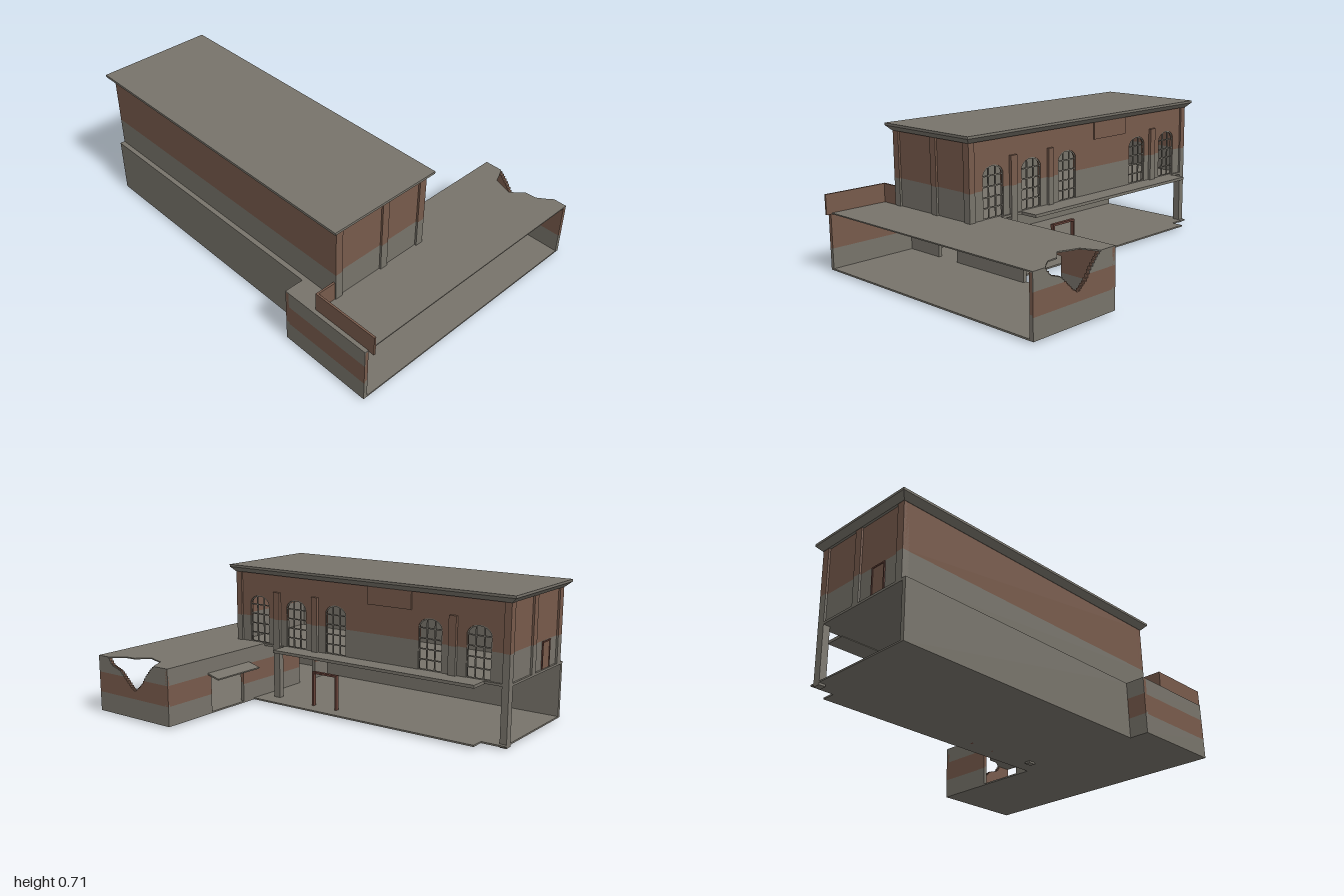
import * as THREE from 'three';
import { mergeGeometries } from 'three/addons/utils/BufferGeometryUtils.js';

const concrete = new THREE.MeshStandardMaterial({ name: 'concrete grey', color: 0x77736a });
const brick = new THREE.MeshStandardMaterial({ name: 'brick brown', color: 0x775a4b });
const frameRed = new THREE.MeshStandardMaterial({ name: 'frame red', color: 0x654138 });

// Box from its bounds: [x0, x1, y0, y1, z0, z1]
function boxGeo([x0, x1, y0, y1, z0, z1]) {
  return new THREE.BoxGeometry(x1 - x0, y1 - y0, z1 - z0)
    .translate((x0 + x1) / 2, (y0 + y1) / 2, (z0 + z1) / 2);
}

export function createModel() {
  const model = new THREE.Group();
  const add = (name, geo, mat) => {
    const mesh = new THREE.Mesh(geo, mat);
    mesh.name = name;
    model.add(mesh);
    return mesh;
  };
  const boxes = (name, mat, list) => add(name, mergeGeometries(list.map(boxGeo)), mat);

  // Wall split into horizontal colour bands; bands are [upper limit, material]
  function banded(name, [x0, x1, y0, y1, z0, z1], bands) {
    let low = y0;
    for (const [limit, mat] of bands) {
      const high = Math.min(limit, y1);
      if (high > low) {
        boxes(name, mat, [[x0, x1, low, high, z0, z1]]);
        low = high;
      }
    }
  }
  const hallBands = [[0.44, concrete], [1, brick]];
  const innerBands = [[0.12, concrete], [1, brick]];
  const outerBands = [[0.11, concrete], [0.215, brick], [1, concrete]];

  // Ground floors and upper floor
  boxes('floor', concrete, [
    [-0.7, 0.69, 0.01, 0.018, 0.475, 0.97],
    [-0.6, 0, 0.01, 0.018, -0.97, 0.475],
    [0, 0.07, 0.01, 0.018, -0.85, 0.475],
  ]);
  boxes('upperFloor', concrete, [[-0.6, -0.02, 0.288, 0.3, -0.97, 0.475]]);
  boxes('lowerSideWall', concrete, [[-0.6, -0.58, 0.01, 0.3, -0.97, 0.475]]);

  // Hall: plain walls
  banded('hallFrontWall', [-0.575, -0.03, 0.3, 0.68, 0.635, 0.655], hallBands);
  banded('hallBackWall', [-0.575, -0.03, 0.288, 0.68, -0.96, -0.94], hallBands);
  banded('hallSideWall', [-0.575, -0.555, 0.3, 0.68, -0.96, 0.655], hallBands);

  // Hall: window wall, with u = -z along its length
  const windows = [-0.51, -0.26, -0.005, 0.55, 0.81];
  const half = 0.065;
  const arch = (s, u) => {
    s.lineTo(u - half, 0.515);
    s.quadraticCurveTo(u - half + 0.015, 0.553, u, 0.555);
    s.quadraticCurveTo(u + half - 0.015, 0.553, u + half, 0.515);
  };
  const upper = new THREE.Shape();
  upper.moveTo(-0.655, 0.44);
  const piers = [];
  let start = -0.655;
  for (const u of windows) {
    upper.lineTo(u - half, 0.44);
    arch(upper, u);
    upper.lineTo(u + half, 0.44);
    piers.push([-0.05, -0.03, 0.3, 0.44, -(u - half), -start].map((v) => v));
    start = u + half;
  }
  piers.push([-0.05, -0.03, 0.3, 0.44, -0.96, -start]);
  upper.lineTo(0.96, 0.44);
  upper.lineTo(0.96, 0.68);
  upper.lineTo(-0.655, 0.68);
  upper.closePath();
  add('windowWallUpper', new THREE.ExtrudeGeometry(upper, { depth: 0.02, bevelEnabled: false, curveSegments: 5 })
    .rotateY(Math.PI / 2).translate(-0.05, 0, 0), brick);
  boxes('windowWallLower', concrete, piers);

  // Window frames and glazing bars
  for (const u of windows) {
    const frame = new THREE.Shape();
    frame.moveTo(u - half, 0.3);
    arch(frame, u);
    frame.lineTo(u + half, 0.3);
    frame.closePath();
    const hole = new THREE.Path(frame.getPoints(5).map((p) =>
      new THREE.Vector2(u + (p.x - u) * 0.91, 0.425 + (p.y - 0.425) * 0.95)));
    frame.holes.push(hole);
    add('windowFrame', new THREE.ExtrudeGeometry(frame, { depth: 0.01, bevelEnabled: false, curveSegments: 5 })
      .rotateY(Math.PI / 2).translate(-0.044, 0, 0), concrete);
    const bars = [];
    for (const d of [-0.022, 0.022]) bars.push([-0.042, -0.036, 0.3, 0.545, -u + d - 0.003, -u + d + 0.003]);
    for (let i = 1; i < 5; i++) {
      const y = 0.3 + i * 0.051;
      bars.push([-0.042, -0.036, y - 0.003, y + 0.003, -u - 0.063, -u + 0.063]);
    }
    boxes('windowBars', concrete, bars);
  }

  // Pilasters on the front, back and window walls
  for (const [a, b] of [[-0.575, -0.535], [-0.295, -0.255], [-0.06, -0.02]]) {
    banded('frontPilaster', [a, b, 0.3, 0.68, 0.63, 0.665], hallBands);
    banded('backPilaster', [a, b, b === -0.02 ? 0 : 0.288, 0.68, -0.97, -0.935], hallBands);
  }
  for (const [z0, z1, y0] of [[0.365, 0.405, 0], [0.115, 0.15, 0.3], [-0.695, -0.655, 0.3]]) {
    banded('sidePilaster', [-0.045, -0.015, y0, 0.585, z0, z1], hallBands);
  }
  boxes('wallPanel', brick, [[-0.04, -0.022, 0.585, 0.68, -0.445, -0.195]]);

  // Roof with flared cornice
  const cornice = boxGeo([-0.605, 0.005, 0.675, 0.7, -1, 0.69]);
  const pos = cornice.attributes.position;
  for (let i = 0; i < pos.count; i++) {
    if (pos.getY(i) < 0.69) {
      pos.setX(i, pos.getX(i) < -0.3 ? -0.577 : -0.018);
      pos.setZ(i, pos.getZ(i) < 0 ? -0.972 : 0.667);
    }
  }
  cornice.computeVertexNormals();
  add('cornice', cornice, concrete);
  boxes('hallRoof', concrete, [[-0.605, 0.005, 0.7, 0.712, -1, 0.69]]);

  // Doors
  boxes('sideDoorFrame', frameRed, [
    [-0.02, 0, 0.01, 0.2, 0.125, 0.135],
    [-0.02, 0, 0.01, 0.2, -0.02, -0.01],
    [-0.02, 0, 0.19, 0.2, -0.02, 0.135],
  ]);
  boxes('backDoor', brick, [[-0.45, -0.38, 0.3, 0.43, -0.963, -0.958]]);
  boxes('backDoorFrame', frameRed, [
    [-0.457, -0.45, 0.3, 0.437, -0.966, -0.958],
    [-0.38, -0.373, 0.3, 0.437, -0.966, -0.958],
    [-0.45, -0.38, 0.43, 0.437, -0.966, -0.958],
  ]);

  // Long side canopy
  boxes('sideCanopy', concrete, [[-0.03, 0.075, 0.285, 0.3, -0.845, 0.335]]);

  // Annex: rear wall with two openings, brick inside and banded outside
  const segments = [[-0.7, -0.46, 0.01], [-0.46, -0.32, 0.205], [-0.32, 0.15, 0.01],
    [0.15, 0.39, 0.197], [0.39, 0.69, 0.01]];
  for (const [a, b, y0] of segments) {
    banded('annexRearWall', [a, b, y0, 0.294, 0.479, 0.495], innerBands);
    banded('annexRearFace', [a, b, y0, 0.294, 0.475, 0.479], outerBands);
  }
  banded('annexEndWall', [-0.696, -0.68, 0.01, 0.294, 0.495, 0.97], innerBands);
  banded('annexEndFace', [-0.7, -0.696, 0.01, 0.294, 0.475, 0.97], outerBands);

  // Annex: broken end wall, built in narrow columns under a notch profile
  const notch = [[0.57, 0.3], [0.6, 0.27], [0.63, 0.235], [0.66, 0.19], [0.71, 0.15],
    [0.74, 0.17], [0.78, 0.21], [0.81, 0.24], [0.87, 0.26], [0.9, 0.3]];
  const notchTop = (z) => {
    for (let i = 1; i < notch.length; i++) {
      const [z0, y0] = notch[i - 1], [z1, y1] = notch[i];
      if (z <= z1) return y0 + (y1 - y0) * (z - z0) / (z1 - z0);
    }
    return 0.3;
  };
  const layers = [['brokenWall', 0.67, 0.686, innerBands], ['brokenWallFace', 0.686, 0.69, outerBands]];
  for (const [name, x0, x1, bands] of layers) {
    let low = 0.01;
    for (const [limit, mat] of bands) {
      const high = Math.min(limit, 0.294);
      const list = [[x0, x1, low, high, 0.475, 0.57], [x0, x1, low, high, 0.9, 0.97]];
      for (let i = 0; i < 33; i++) {
        const z = 0.57 + i * 0.01;
        const top = Math.min(high, notchTop(z + 0.005));
        if (top > low) list.push([x0, x1, low, top, z, z + 0.01]);
      }
      boxes(name, mat, list);
      low = high;
    }
  }

  // Annex roof with a broken edge
  const outline = [[-0.7, 0.97], [0.69, 0.97], [0.69, 0.9], [0.66, 0.865], [0.635, 0.83], [0.63, 0.77],
    [0.6, 0.74], [0.572, 0.71], [0.59, 0.66], [0.605, 0.61], [0.65, 0.59], [0.69, 0.57],
    [0.69, 0.475], [-0.7, 0.475]];
  const roof = new THREE.Shape(outline.map(([x, z]) => new THREE.Vector2(x, -z)));
  add('annexRoof', new THREE.ExtrudeGeometry(roof, { depth: 0.006, bevelEnabled: false })
    .rotateX(-Math.PI / 2).translate(0, 0.294, 0), concrete);

  // Parapet on the annex roof
  boxes('parapet', brick, [
    [-0.68, -0.67, 0.294, 0.395, 0.65, 1],
    [-0.67, -0.57, 0.294, 0.395, 0.65, 0.66],
  ]);

  // Sloping awning over the rear opening
  const awning = add('awning', new THREE.BoxGeometry(0.31, 0.008, 0.075), concrete);
  awning.position.set(0.26, 0.21, 0.44);
  awning.rotation.x = -0.26;

  return model;
}
